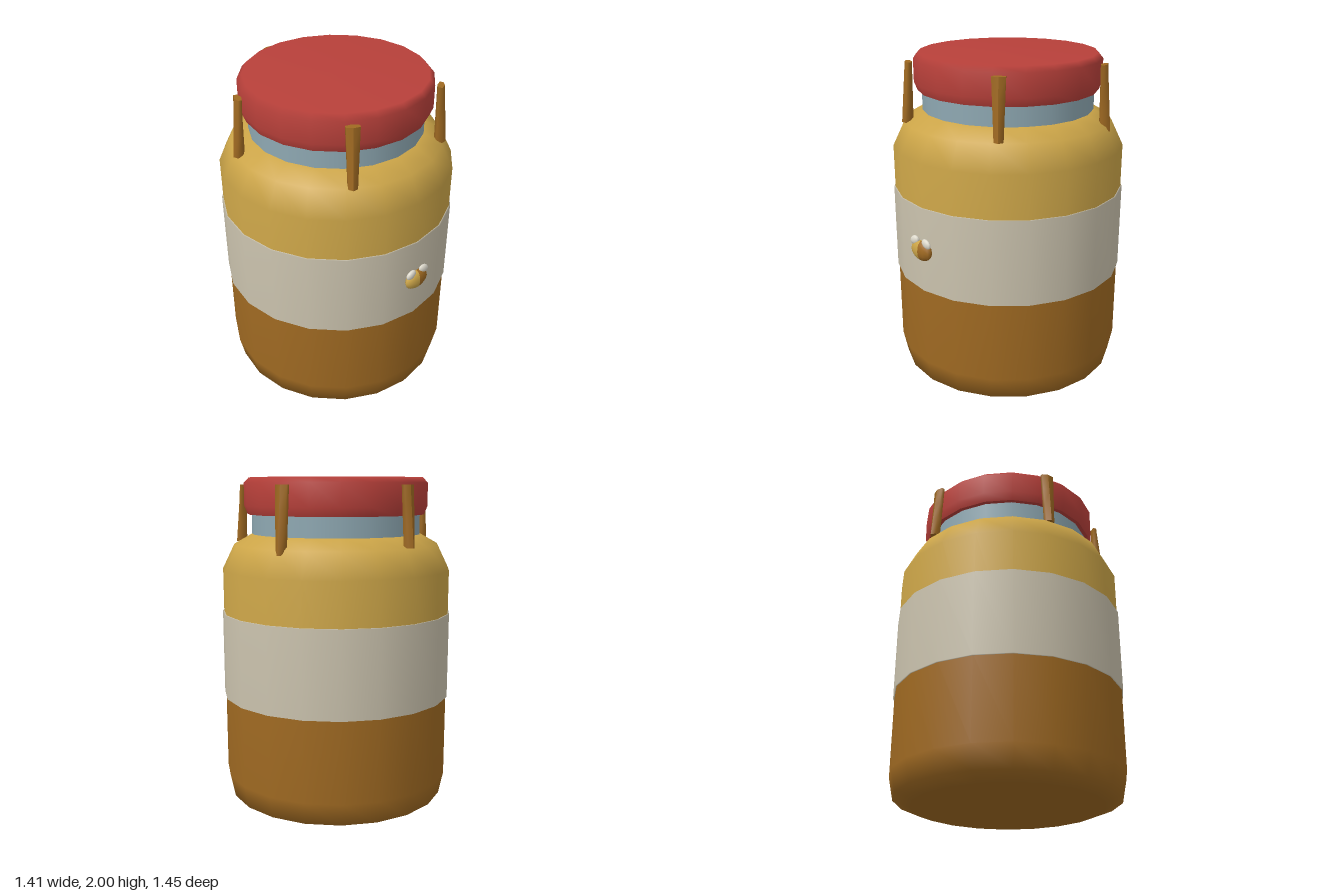
import * as THREE from 'three';

const mat = (name, color) => {
  const m = new THREE.MeshStandardMaterial({ color });
  m.name = name;
  return m;
};

export function createModel() {
  const gold = mat('gold', 0xcca548);
  const amber = mat('amber', 0xa06a22);
  const paper = mat('paper', 0xcbc3ae);
  const glass = mat('glass', 0x8ea8b2);
  const red = mat('red', 0xb8403a);
  const white = mat('wingWhite', 0xdedacd);
  paper.side = THREE.DoubleSide;

  const group = new THREE.Group();
  group.name = 'jar';
  const jar = new THREE.Group();
  jar.name = 'jarAssembly';
  jar.position.z = -0.02;
  group.add(jar);

  const add = (name, geometry, material, parent = jar) => {
    const mesh = new THREE.Mesh(geometry, material);
    mesh.name = name;
    parent.add(mesh);
    return mesh;
  };
  const lathe = (points) =>
    new THREE.LatheGeometry(points.map(([r, y]) => new THREE.Vector2(r, y)), 20);

  // Jar body: dark lower half, light upper half with a sloping shoulder
  add('lowerBody', lathe([[0, 0], [0.565, 0.005], [0.67, 0.045], [0.698, 0.18], [0.698, 0.68]]), amber);
  add('upperBody', lathe([[0.698, 0.68], [0.698, 1.45], [0.625, 1.6], [0.51, 1.665], [0.4, 1.67]]), gold);

  // Paper band wrapped round the middle
  add('label', lathe([[0.697, 0.67], [0.706, 0.672], [0.706, 1.188], [0.697, 1.19]]), paper);

  // Neck and lid
  add('neck', lathe([[0.515, 1.62], [0.515, 1.8]]), glass);
  add('lidUnderside', lathe([[0, 1.781], [0.54, 1.781]]), red);
  add('lid', lathe([[0.54, 1.78], [0.56, 1.83], [0.56, 1.965], [0.53, 1.997], [0, 2]]), red);

  // Five straps leaning against the lid: wide and thin above, narrow and deep below
  const bottoms = [1.605, 1.57, 1.605, 1.6, 1.6];
  bottoms.forEach((bottom, i) => {
    const height = 1.955 - bottom;
    const geo = new THREE.CylinderGeometry(1, 1, height, 6, 3);
    const p = geo.attributes.position;
    for (let j = 0; j < p.count; j++) {
      const t = 0.5 - p.getY(j) / height; // 0 at the top, 1 at the bottom
      const width = 0.045 - 0.015 * t;
      const depth = 0.021 + 0.013 * t;
      p.setX(j, p.getX(j) * width);
      p.setZ(j, p.getZ(j) * depth + 0.59 + 0.018 * t);
    }
    geo.computeVertexNormals();
    const strap = add('strap', geo, amber);
    strap.position.y = bottom + height / 2;
    strap.rotation.y = THREE.MathUtils.degToRad(39.5 + 72 * i);
  });

  // Small bee on the label: two-tone body and a pair of wings
  const bee = new THREE.Group();
  bee.name = 'bee';
  bee.position.set(0, 0.932, 0.692);
  group.add(bee);
  [[gold, -1], [amber, 1]].forEach(([material, side]) => {
    const half = new THREE.SphereGeometry(1, 6, 8, side * Math.PI / 2, Math.PI);
    if (side < 0) half.name = 'frontHalf';
    add(side < 0 ? 'beeFront' : 'beeBack', half, material, bee).scale.set(0.084, 0.061, 0.034);
    const wing = add('beeWing', new THREE.SphereGeometry(1, 10, 8), white, bee);
    wing.position.set(side * 0.05, 0.055, 0.006);
    wing.scale.set(0.037, 0.027, 0.016);
    wing.rotation.z = -side * 0.4;
  });

  return group;
}
